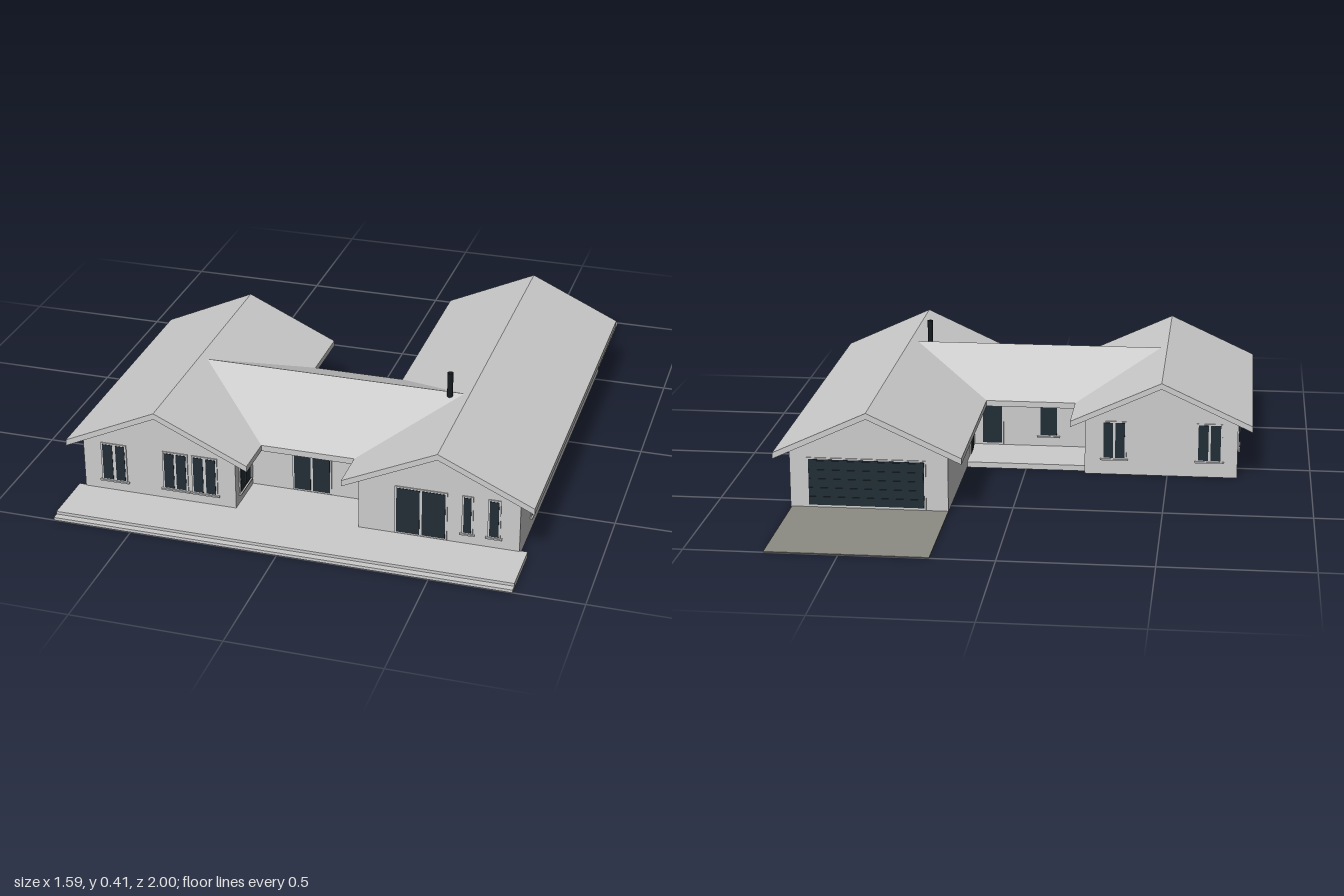
import * as THREE from 'three';

const mat = (name, color) => Object.assign(new THREE.MeshStandardMaterial({ color }), { name });

export function createModel() {
  const house = new THREE.Group();
  house.name = 'house';
  const pale = mat('paleGrey', 0xcccccc);
  const glass = mat('darkGlass', 0x222d36);
  const gravel = mat('driveGrey', 0x8c8c84);
  const metal = mat('flueBlack', 0x171b1f);

  const add = (parent, name, geometry, material) => {
    const mesh = new THREE.Mesh(geometry, material);
    mesh.name = name;
    parent.add(mesh);
    return mesh;
  };
  // Box given by its minimum and maximum on each axis
  const box = (parent, name, material, [x0, x1], [y0, y1], [z0, z1]) =>
    add(parent, name, new THREE.BoxGeometry(x1 - x0, y1 - y0, z1 - z0), material)
      .position.set((x0 + x1) / 2, (y0 + y1) / 2, (z0 + z1) / 2);

  const prism = (points, from, to) => {
    const shape = new THREE.Shape(points.map(([x, y]) => new THREE.Vector2(x, y)));
    return new THREE.ExtrudeGeometry(shape, { depth: to - from, bevelEnabled: false }).translate(0, 0, from);
  };
  // Gabled roof slab with vertical eave boards
  const EAVE = 0.2, THICK = 0.021;
  const roof = (half, ridge, from, to) => prism([
    [-half, EAVE - THICK], [0, ridge - THICK], [half, EAVE - THICK],
    [half, EAVE], [0, ridge], [-half, EAVE],
  ], from, to);
  // Walls rising to the underside of the roof
  const walls = (half, roofHalf, ridge, from, to) => {
    const top = ridge - THICK - 0.001;
    const side = top - (ridge - EAVE) * half / roofHalf;
    return prism([[-half, 0], [half, 0], [half, side], [0, top], [-half, side]], from, to);
  };

  // Two side wings
  for (const [name, side, back] of [['rightWing', -1, -0.145], ['leftWing', 1, -0.6]]) {
    const wing = new THREE.Group();
    wing.name = name;
    wing.position.x = side * 0.477;
    add(wing, 'wingWalls', walls(0.267, 0.317, 0.346, back + 0.035, 0.79), pale);
    add(wing, 'wingRoof', roof(0.317, 0.346, back, 0.818), pale);
    house.add(wing);
  }

  // Middle block between the wings, its ridge running across
  const middle = new THREE.Group();
  middle.name = 'middleBlock';
  middle.rotation.y = Math.PI / 2;
  middle.position.z = 0.375;
  add(middle, 'middleWalls', walls(0.245, 0.295, 0.335, -0.22, 0.22), pale);
  add(middle, 'middleRoof', roof(0.295, 0.335, -0.452, 0.452), pale);
  house.add(middle);

  // Ground works
  box(house, 'frontTerrace', pale, [-0.77, 0.77], [0, 0.02], [0.785, 0.977]);
  box(house, 'terraceStep', pale, [-0.77, 0.77], [0, 0.01], [0.97, 1]);
  box(house, 'entrancePorch', pale, [-0.215, 0.215], [0, 0.02], [0.61, 0.79]);
  box(house, 'backPatio', pale, [-0.215, 0.215], [0, 0.02], [-0.085, 0.14]);
  box(house, 'driveway', gravel, [0.21, 0.74], [0, 0.003], [-1, -0.56]);

  // Flue
  const flue = add(house, 'flue', new THREE.CylinderGeometry(0.01, 0.01, 0.16, 12), metal);
  flue.position.set(0.408, 0.333, 0.388);

  // Openings: panes are spans along the wall, in model coordinates
  const FACES = {
    front: { turn: 0, sign: 1 }, back: { turn: Math.PI, sign: -1 },
    left: { turn: Math.PI / 2, sign: -1 }, right: { turn: -Math.PI / 2, sign: 1 },
  };
  const opening = (name, face, wall, panes, y0 = 0.062, y1 = 0.19) => {
    const { turn, sign } = FACES[face];
    const unit = new THREE.Group();
    unit.name = name;
    unit.rotation.y = turn;
    if (face === 'front' || face === 'back') unit.position.z = wall;
    else unit.position.x = wall;
    const spans = panes.map(([a, b]) => [Math.min(a * sign, b * sign), Math.max(a * sign, b * sign)]);
    const lo = Math.min(...spans.map(s => s[0])), hi = Math.max(...spans.map(s => s[1]));
    box(unit, 'frame', pale, [lo - 0.006, hi + 0.006], [y0 - 0.005, y1 + 0.005], [-0.003, 0.004]);
    for (const span of spans) box(unit, 'pane', glass, span, [y0, y1], [-0.002, 0.0055]);
    if (y0 > 0.05) box(unit, 'sill', pale, [lo - 0.012, hi + 0.012], [0.053, 0.058], [-0.003, 0.009]);
    house.add(unit);
  };

  // Front
  opening('frontWindow', 'front', 0.79, [[-0.675, -0.64], [-0.629, -0.597]]);
  opening('frontWindow', 'front', 0.79, [[-0.457, -0.423], [-0.415, -0.381]]);
  opening('frontWindow', 'front', 0.79, [[-0.355, -0.321], [-0.311, -0.278]]);
  opening('entranceDoor', 'front', 0.62, [[-0.062, -0.005], [0.003, 0.062]], 0.028, 0.178);
  opening('terraceDoor', 'front', 0.79, [[0.338, 0.415], [0.423, 0.5]], 0.028);
  opening('narrowWindow', 'front', 0.79, [[0.56, 0.585]]);
  opening('narrowWindow', 'front', 0.79, [[0.645, 0.675]]);
  // Left side
  opening('sideWindow', 'left', 0.744, [[0.489, 0.553], [0.564, 0.628]]);
  opening('sideWindow', 'left', 0.744, [[0.318, 0.356]]);
  opening('sideWindow', 'left', 0.744, [[0.008, 0.05], [0.061, 0.104]]);
  // Right side
  opening('sideWindow', 'right', -0.744, [[0.04, 0.076], [0.084, 0.12]]);
  opening('sideWindow', 'right', -0.744, [[0.285, 0.335]]);
  opening('sideWindow', 'right', -0.744, [[0.465, 0.515]]);
  // Inner sides of the wings
  opening('porchWindow', 'left', -0.21, [[0.66, 0.7], [0.708, 0.75]]);
  opening('patioDoor', 'right', 0.21, [[0, 0.065]], 0.028);
  // Back
  opening('backWindow', 'back', -0.11, [[-0.35, -0.317], [-0.309, -0.276]]);
  opening('backWindow', 'back', -0.11, [[-0.685, -0.65], [-0.642, -0.607]]);
  opening('backDoor', 'back', 0.13, [[0.11, 0.18]], 0.028, 0.178);
  opening('backWindow', 'back', 0.13, [[-0.09, -0.03]], 0.062, 0.178);

  // Garage door with horizontal slats
  opening('garageDoor', 'back', -0.565, [[0.29, 0.68]], 0.012, 0.172);
  for (let i = 0; i < 5; i++) {
    const y = 0.016 + i * 0.0315;
    box(house, 'garageSlat', glass, [0.292, 0.678], [y, y + 0.026], [-0.573, -0.566]);
  }
  return house;
}
